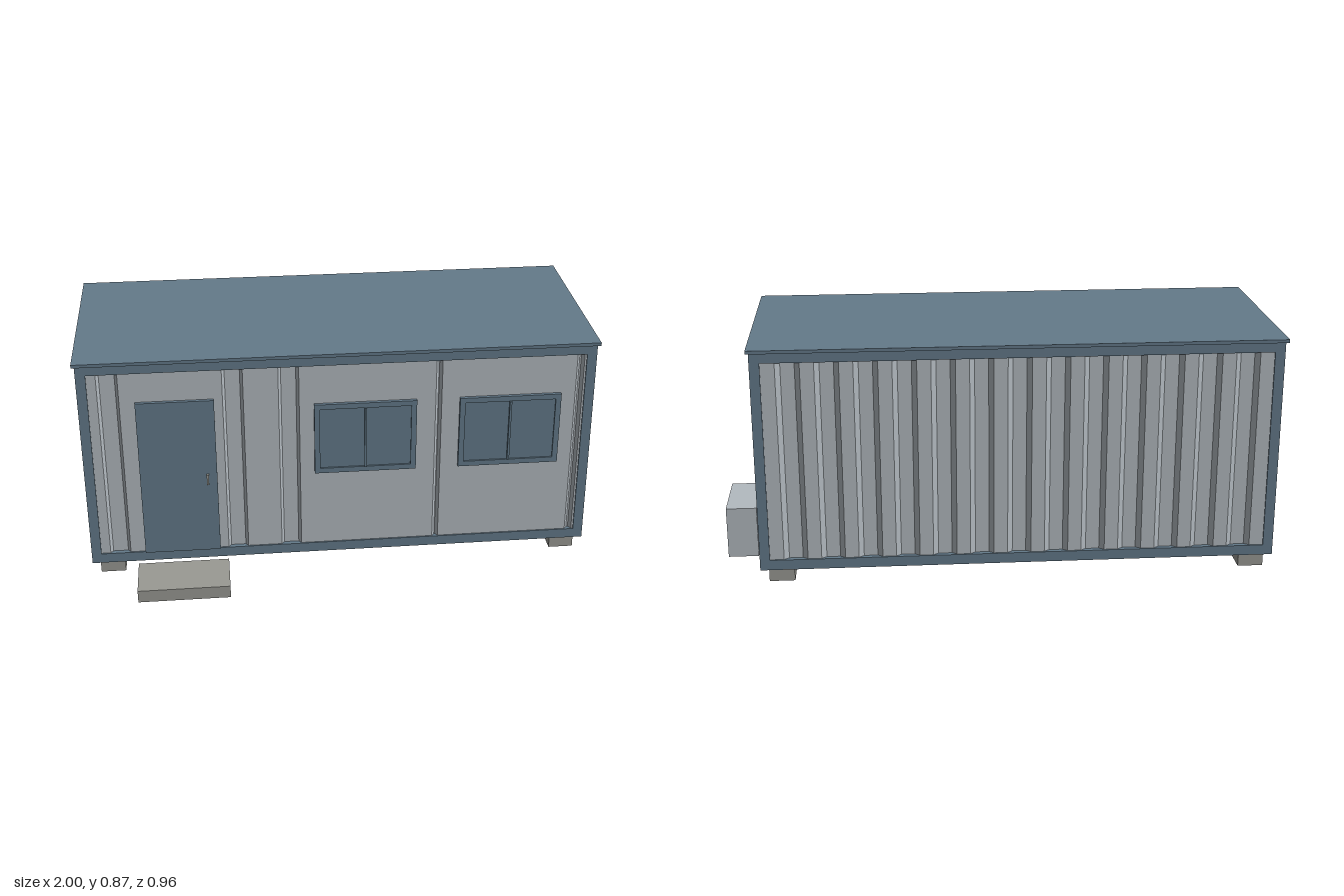
import * as THREE from 'three';

const steelBlue = new THREE.MeshStandardMaterial({ name: 'steelBlue', color: 0x647a8a });
const panelGrey = new THREE.MeshStandardMaterial({ name: 'panelGrey', color: 0xb3bac0 });
const concrete = new THREE.MeshStandardMaterial({ name: 'concrete', color: 0x9a9a94 });
const grilleDark = new THREE.MeshStandardMaterial({ name: 'grilleDark', color: 0x333333 });

// Outer limits of the cabin frame
const X0 = -0.99, X1 = 0.876, Z0 = -0.47, Z1 = 0.277, Y0 = 0.05, Y1 = 0.86;
const CX = (X0 + X1) / 2, CZ = (Z0 + Z1) / 2;
const POST_X = 0.036, POST_Z = 0.03, SILL = 0.088, HEAD = 0.824;

// Box given by its limits on each axis
function box(parent, name, mat, xa, xb, ya, yb, za, zb) {
  const mesh = new THREE.Mesh(new THREE.BoxGeometry(xb - xa, yb - ya, zb - za), mat);
  mesh.position.set((xa + xb) / 2, (ya + yb) / 2, (za + zb) / 2);
  mesh.name = name;
  parent.add(mesh);
  return mesh;
}

// Folded sheet wall, facing local +z; folds lists the centres of the slopes
function sheetWall(name, half, folds, slope = 0.018) {
  const crest = -0.005, valley = -0.018, back = -0.03;
  const pts = [[-half, back], [-half, crest]];
  folds.forEach((u, i) => {
    const [a, b] = i % 2 ? [valley, crest] : [crest, valley];
    pts.push([u - slope / 2, a], [u + slope / 2, b]);
  });
  pts.push([half, crest], [half, back]);
  const shape = new THREE.Shape(pts.map(([u, v]) => new THREE.Vector2(u, -v)));
  const geo = new THREE.ExtrudeGeometry(shape, { depth: HEAD - SILL + 0.01, bevelEnabled: false });
  geo.rotateX(-Math.PI / 2);
  const mesh = new THREE.Mesh(geo, panelGrey);
  mesh.name = name;
  mesh.position.y = SILL - 0.005;
  return mesh;
}

const evenFolds = (n, step) => Array.from({ length: n }, (_, i) => (i - (n - 1) / 2) * step);

export function createModel() {
  const model = new THREE.Group();
  model.name = 'siteCabin';

  // Corner posts and edge beams
  const frame = new THREE.Group();
  frame.name = 'frame';
  model.add(frame);
  for (const [xa, xb] of [[X0, X0 + POST_X], [X1 - POST_X, X1]]) {
    for (const [za, zb] of [[Z0, Z0 + POST_Z], [Z1 - POST_Z, Z1]])
      box(frame, 'cornerPost', steelBlue, xa, xb, Y0, Y1, za, zb);
    for (const [ya, yb] of [[Y0, SILL], [HEAD, Y1]])
      box(frame, 'endBeam', steelBlue, xa, xb, ya, yb, Z0 + POST_Z, Z1 - POST_Z);
  }
  for (const [za, zb] of [[Z0, Z0 + POST_Z], [Z1 - POST_Z, Z1]])
    for (const [ya, yb] of [[Y0, SILL], [HEAD, Y1]])
      box(frame, 'longBeam', steelBlue, X0 + POST_X, X1 - POST_X, ya, yb, za, zb);

  // Roof sheet and floor
  box(model, 'roof', steelBlue, -1, 0.886, Y1, 0.872, -0.48, 0.287);
  box(model, 'floor', panelGrey, X0 + 0.02, X1 - 0.02, Y0 + 0.005, SILL - 0.01, Z0 + 0.02, Z1 - 0.02);

  // Walls: regular folds on three sides, flat bays round the openings in front
  const longHalf = (X1 - X0) / 2 - POST_X + 0.005;
  const endHalf = (Z1 - Z0) / 2 - POST_Z + 0.005;
  const backWall = sheetWall('backWall', longHalf, evenFolds(26, 0.067));
  backWall.position.x = CX;
  backWall.position.z = Z0;
  backWall.rotation.y = Math.PI;
  const frontFolds = [-0.915, -0.85, -0.474, -0.41, -0.274, -0.21, 0.297, 0.309, 0.812, 0.828];
  const frontWall = sheetWall('frontWall', longHalf, frontFolds.map((x) => x - CX), 0.01);
  frontWall.position.x = CX;
  frontWall.position.z = Z1;
  model.add(backWall, frontWall);
  for (const s of [-1, 1]) {
    const wall = sheetWall(s > 0 ? 'leftWall' : 'rightWall', endHalf, evenFolds(10, 0.066));
    wall.position.x = s > 0 ? X1 : X0;
    wall.position.z = CZ;
    wall.rotation.y = s * Math.PI / 2;
    model.add(wall);
  }

  // Door with handle
  box(model, 'door', steelBlue, -0.79, -0.51, SILL, 0.71, 0.255, 0.285);
  box(model, 'doorHandle', concrete, -0.549, -0.541, 0.373, 0.413, 0.285, 0.299);

  // Windows: frame, recessed pane and centre bar
  for (const cx of [0.035, 0.567]) {
    const win = new THREE.Group();
    win.name = 'window';
    model.add(win);
    const a = cx - 0.187, b = cx + 0.187, y0 = 0.392, y1 = 0.673, t = 0.02;
    box(win, 'windowPane', steelBlue, a + t, b - t, y0 + t, y1 - t, 0.255, 0.279);
    box(win, 'windowSill', steelBlue, a, b, y0, y0 + t, 0.255, 0.285);
    box(win, 'windowHead', steelBlue, a, b, y1 - t, y1, 0.255, 0.285);
    box(win, 'windowJamb', steelBlue, a, a + t, y0 + t, y1 - t, 0.255, 0.285);
    box(win, 'windowJamb', steelBlue, b - t, b, y0 + t, y1 - t, 0.255, 0.285);
    box(win, 'windowBar', steelBlue, cx - 0.004, cx + 0.004, y0 + t, y1 - t, 0.279, 0.29);
  }

  // Air conditioner on the end wall
  box(model, 'airConditioner', panelGrey, 0.887, 0.996, 0.065, 0.253, -0.376, -0.128);
  box(model, 'airConditionerGrille', grilleDark, 0.994, 1, 0.09, 0.23, -0.33, -0.173);

  // Footing blocks and entrance step
  for (const x of [-0.915, 0.8])
    for (const z of [0.215, -0.409])
      box(model, 'footing', concrete, x - 0.046, x + 0.046, 0, Y0, z - 0.046, z + 0.046);
  box(model, 'entranceStep', concrete, -0.818, -0.481, 0, 0.048, 0.295, 0.48);

  return model;
}
